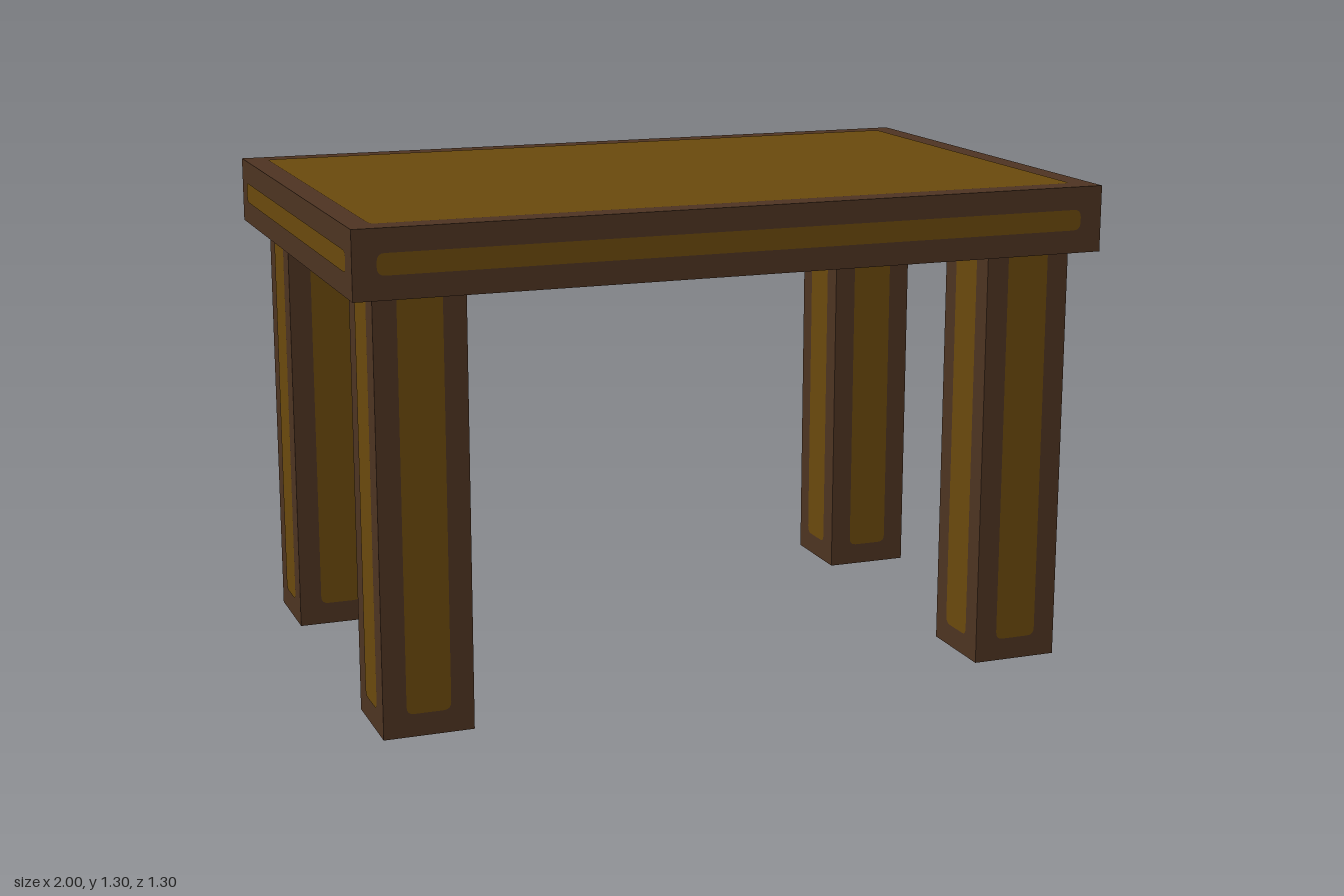
import * as THREE from 'three';

const frame = new THREE.MeshStandardMaterial({ color: 0x4e3422 });
frame.name = 'dark brown frame';
const inlay = new THREE.MeshStandardMaterial({ color: 0x6b4a0d });
inlay.name = 'golden brown inlay';

const BORDER = 0.06, LIFT = 0.001;

// Flat rounded rectangle centred on its own origin, facing +z
function roundedPanel(w, h, r = 0.02) {
  const x = w / 2, y = h / 2, s = new THREE.Shape();
  s.moveTo(-x + r, -y);
  s.lineTo(x - r, -y).quadraticCurveTo(x, -y, x, -y + r);
  s.lineTo(x, y - r).quadraticCurveTo(x, y, x - r, y);
  s.lineTo(-x + r, y).quadraticCurveTo(-x, y, -x, y - r);
  s.lineTo(-x, -y + r).quadraticCurveTo(-x, -y, -x + r, -y);
  return new THREE.ShapeGeometry(s, 4);
}

// Box with an inlaid panel on each face; topRun lets side panels run up past the border
function inlaidBox(name, w, h, d, topRun = 0, hasTop = true) {
  const group = new THREE.Group();
  group.name = name;
  const body = new THREE.Mesh(new THREE.BoxGeometry(w, h, d), frame);
  body.name = name + 'Frame';
  group.add(body);

  const addPanel = (label, pw, ph, dist, rx, ry, shift) => {
    const panel = new THREE.Mesh(roundedPanel(pw, ph), inlay);
    panel.name = name + label + 'Inlay';
    panel.rotation.set(rx, ry, 0);
    panel.translateZ(dist / 2 + LIFT);
    panel.position.y += shift;
    group.add(panel);
  };
  const b = 2 * BORDER, sideH = h - b + topRun, up = topRun / 2;
  addPanel('Front', w - b, sideH, d, 0, 0, up);
  addPanel('Back', w - b, sideH, d, 0, Math.PI, up);
  addPanel('Left', d - b, sideH, w, 0, Math.PI / 2, up);
  addPanel('Right', d - b, sideH, w, 0, -Math.PI / 2, up);
  addPanel('Bottom', w - b, d - b, h, Math.PI / 2, 0, 0);
  if (hasTop) addPanel('Top', w - b, d - b, h, -Math.PI / 2, 0, 0);
  return group;
}

export function createModel() {
  const table = new THREE.Group();
  table.name = 'table';
  const legHeight = 1.122, slab = 0.174, legWidth = 0.235;

  // Table top
  const top = inlaidBox('tableTop', 2, slab, 1.295);
  top.position.y = legHeight + slab / 2;
  table.add(top);

  // Four legs, whose side inlays run up into the top
  for (const [z, end] of [[1, 'front'], [-1, 'back']]) {
    for (const [x, side] of [[1, 'Left'], [-1, 'Right']]) {
      const leg = inlaidBox(end + side + 'Leg', legWidth, legHeight, legWidth, BORDER + 0.03, false);
      leg.position.set(x * 0.8225, legHeight / 2, z * 0.4715);
      table.add(leg);
    }
  }
  // Rest the foot inlays exactly on the ground
  table.position.y = LIFT;
  return table;
}
